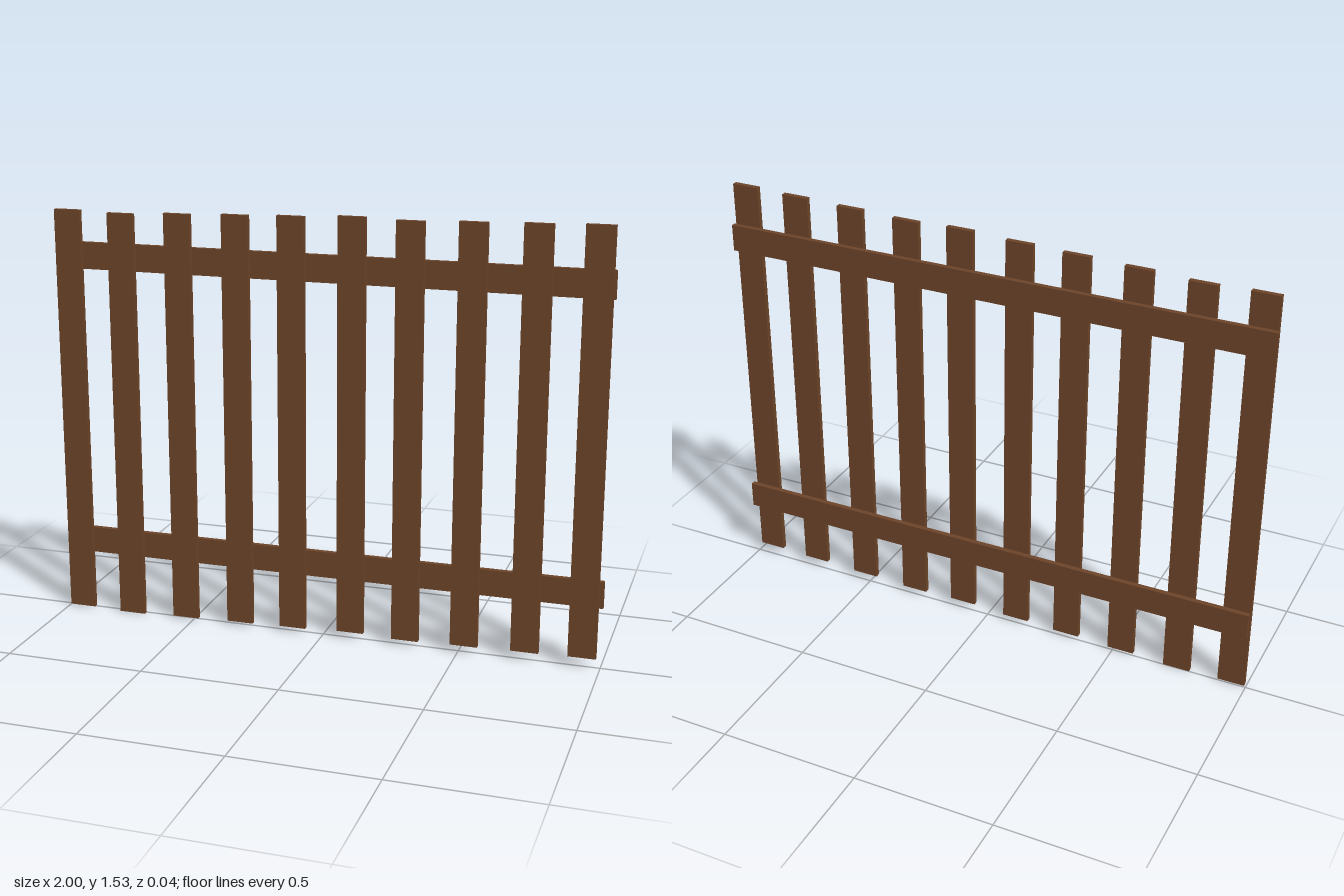
import * as THREE from 'three';

export function createModel() {
  const fence = new THREE.Group();
  fence.name = 'picketFence';
  const wood = new THREE.MeshStandardMaterial({ color: 0x6b4328 });

  const DEPTH = 0.0185; // thickness of every board

  // A board given by its centre x, bottom y, size, and the z of its middle
  function board(name, x, bottom, width, height, z) {
    const mesh = new THREE.Mesh(new THREE.BoxGeometry(width, height, DEPTH), wood);
    mesh.name = name;
    mesh.position.set(x, bottom + height / 2, z);
    fence.add(mesh);
  }

  // Upright pickets, slightly uneven in spacing and height: [x, bottom]
  const pickets = [
    [-0.946, 0.005], [-0.743, 0], [-0.529, 0.008], [-0.315, 0.014], [-0.113, 0.019],
    [0.104, 0.027], [0.307, 0.022], [0.521, 0.028], [0.737, 0.033], [0.937, 0.038],
  ];
  pickets.forEach(([x, bottom], i) => board(`picket${i + 1}`, x, bottom, 0.098, 1.496, DEPTH / 2));

  // Horizontal rails behind the pickets
  board('upperRail', -0.004, 1.289, 1.992, 0.096, -DEPTH / 2);
  board('lowerRail', 0.004, 0.219, 1.992, 0.096, -DEPTH / 2);

  return fence;
}
